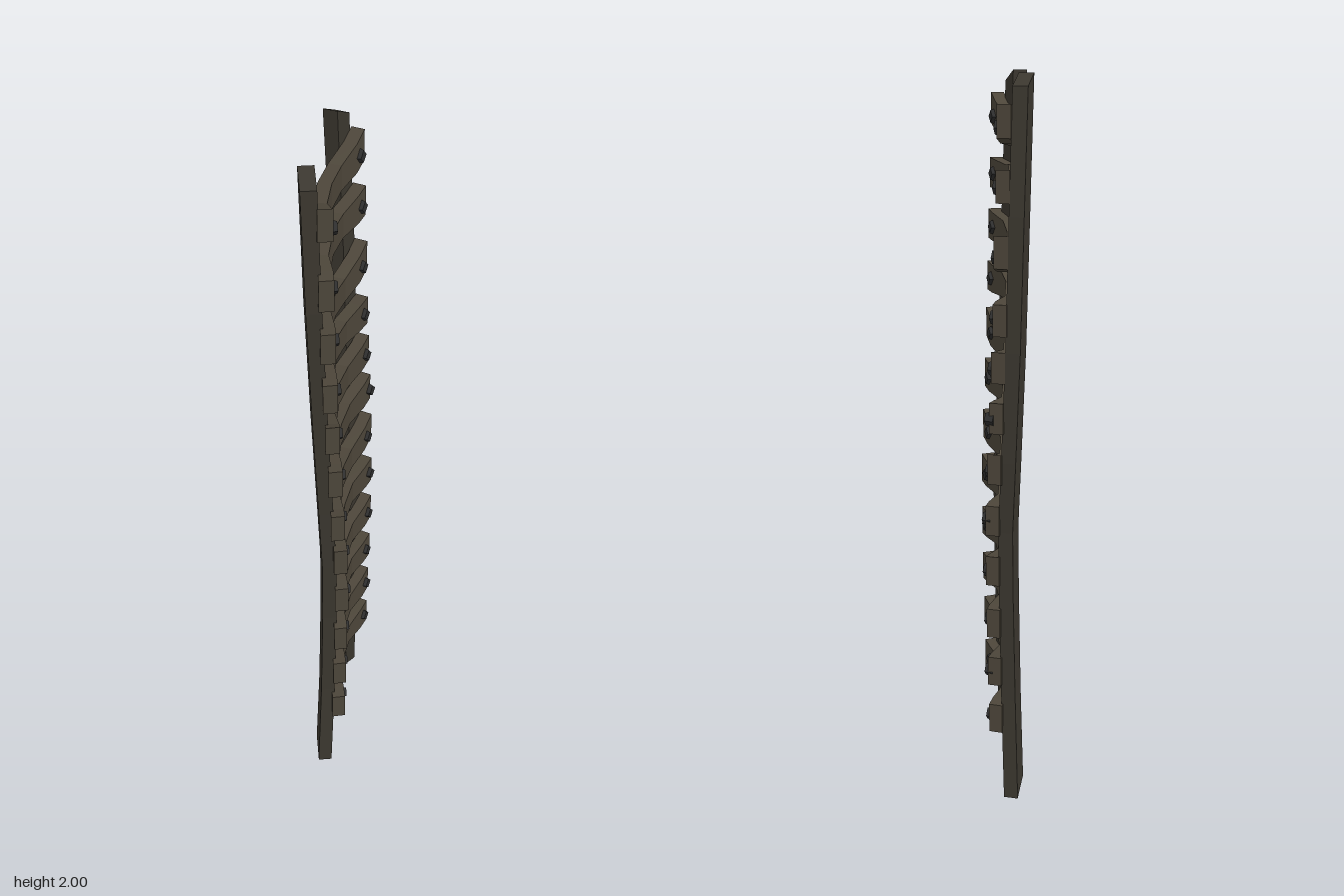
import * as THREE from 'three';

const wood = (color) => new THREE.MeshStandardMaterial({ color, flatShading: true, roughness: 0.9 });
const railMat = wood(0x3b372f);
const rungMat = wood(0x4d463a);
const boltMat = wood(0x2e2e2e);

// Unit section, counter-clockwise when looking back along the path
const CORNERS = [[1, -1], [1, 1], [-1, 1], [-1, -1]];
const TILT = 0.27;

// Skin a row of four-cornered sections and close both ends
function loft(sections) {
  const index = [];
  const last = (sections.length - 1) * 4;
  for (let i = 0; i < last; i += 4) {
    for (let j = 0; j < 4; j++) {
      const k = (j + 1) % 4;
      index.push(i + j, i + k, i + 4 + k, i + j, i + 4 + k, i + 4 + j);
    }
  }
  index.push(0, 2, 1, 0, 3, 2, last, last + 1, last + 2, last, last + 2, last + 3);
  const geo = new THREE.BufferGeometry();
  geo.setAttribute('position', new THREE.Float32BufferAttribute(sections.flat(2), 3));
  geo.setIndex(index);
  const flat = geo.toNonIndexed();
  flat.computeVertexNormals();
  return flat;
}

function mesh(name, geo, mat) {
  const m = new THREE.Mesh(geo, mat);
  m.name = name;
  return m;
}

// Rail stations: y, centre x, z of the front rail, z of the back rail
const STATIONS = [
  [0, -0.015, 0.178, -0.215], [0.3, -0.008, 0.157, -0.2], [0.6, -0.002, 0.157, -0.198],
  [0.8, 0, 0.164, -0.2], [1, -0.007, 0.172, -0.214], [1.3, -0.018, 0.185, -0.22],
  [1.65, -0.027, 0.205, -0.214], [2, -0.037, 0.2, -0.188],
];

function railX(y) {
  const i = Math.max(1, STATIONS.findIndex((s) => s[0] >= y));
  const [a, b] = [STATIONS[i - 1], STATIONS[i]];
  return THREE.MathUtils.mapLinear(y, a[0], b[0], a[1], b[1]);
}

// Rail with a tilted section and slanted ends; side is +1 front, -1 back
function railGeometry(side) {
  const c = Math.cos(TILT), s = Math.sin(TILT) * side;
  return loft(STATIONS.map(([y, x, zf, zb], i) => CORNERS.map(([u, v]) => {
    const w = u * 0.035, t = v * 0.02;
    const inner = u * side < 0;
    let yy = y;
    if (i === 0 && inner) yy = 0.035;
    if (i === STATIONS.length - 1 && !inner) yy = 1.97;
    return [x + w * s + t * c, yy, (side > 0 ? zf : zb) + w * c - t * s];
  })));
}

// Rungs: front z, back z, front bolt z, back bolt z, then heights from front to back
const RUNGS = [
  [0.25, -0.225, 0.215, -0.19, 1.895, 1.85, 1.85, 1.85, 1.885],
  [0.26, -0.235, 0.215, -0.2, 1.715, 1.715, 1.725, 1.715, 1.725],
  [0.265, -0.24, 0.21, -0.2, 1.57, 1.56, 1.545, 1.525, 1.56],
  [0.26, -0.245, 0.21, -0.21, 1.42, 1.415, 1.41, 1.39, 1.385],
  [0.25, -0.245, 0.185, -0.215, 1.285, 1.24, 1.26, 1.245, 1.26],
  [0.24, -0.25, 0.185, -0.235, 1.135, 1.12, 1.12, 1.115, 1.125],
  [0.235, -0.25, 0.165, -0.21, 0.98, 0.955, 0.97, 0.955, 0.985],
  [0.22, -0.235, 0.16, -0.21, 0.845, 0.835, 0.835, 0.835, 0.835],
  [0.2, -0.235, 0.15, -0.205, 0.685, 0.685, 0.675, 0.675, 0.69],
  [0.205, -0.235, 0.15, -0.2, 0.535, 0.54, 0.535, 0.535, 0.535],
  [0.205, -0.235, 0.145, -0.21, 0.39, 0.385, 0.37, 0.38, 0.39],
  [0.205, -0.235, 0.145, -0.205, 0.245, 0.245, 0.245, 0.245, 0.245],
];

// Bowed plank section by section from back (-1) to front (+1): t, x bow, half height
const BOW = [
  [-1, 0.008, 0.042], [-0.8, -0.003, 0.04], [-0.45, -0.029, 0.034], [0, -0.036, 0.034],
  [0.45, -0.029, 0.034], [0.8, -0.003, 0.04], [1, 0.008, 0.042],
];

function rungGroup([zf, zb, boltF, boltB, ...ys]) {
  const group = new THREE.Group();
  group.name = 'rung';
  const x0 = railX(ys[2]) + 0.038;
  const [f, fm, m, bm, b] = ys;
  const heights = [b, (b + bm) / 2, bm, m, fm, (f + fm) / 2, f];
  const mid = (zf + zb) / 2, half = (zf - zb) / 2;
  group.add(mesh('rungPlank', loft(BOW.map(([t, bow, h], i) => CORNERS.map(([u, v]) => [
    x0 + bow + u * 0.018, heights[i] + v * h, mid + t * half - u * t * 0.006,
  ]))), rungMat));

  // Four-sided bolt heads facing out of the plank
  for (const [z, y, side] of [[boltF, (f + fm) / 2, 1], [boltB, (b + bm) / 2, -1]]) {
    const geo = new THREE.CylinderGeometry(0.017, 0.024, 0.024, 4);
    geo.rotateZ(-Math.PI / 2);
    const bolt = mesh('bolt', geo, boltMat);
    const t = Math.min(1, Math.abs((z - mid) / half));
    const bow = THREE.MathUtils.mapLinear(t, 0.45, 0.9, -0.029, 0.003);
    bolt.position.set(x0 + bow + 0.018, y, z);
    bolt.rotation.y = side * TILT;
    group.add(bolt);
  }
  return group;
}

export function createModel() {
  const ladder = new THREE.Group();
  ladder.name = 'ladder';
  ladder.add(mesh('frontRail', railGeometry(1), railMat));
  ladder.add(mesh('backRail', railGeometry(-1), railMat));
  for (const rung of RUNGS) ladder.add(rungGroup(rung));
  return ladder;
}
